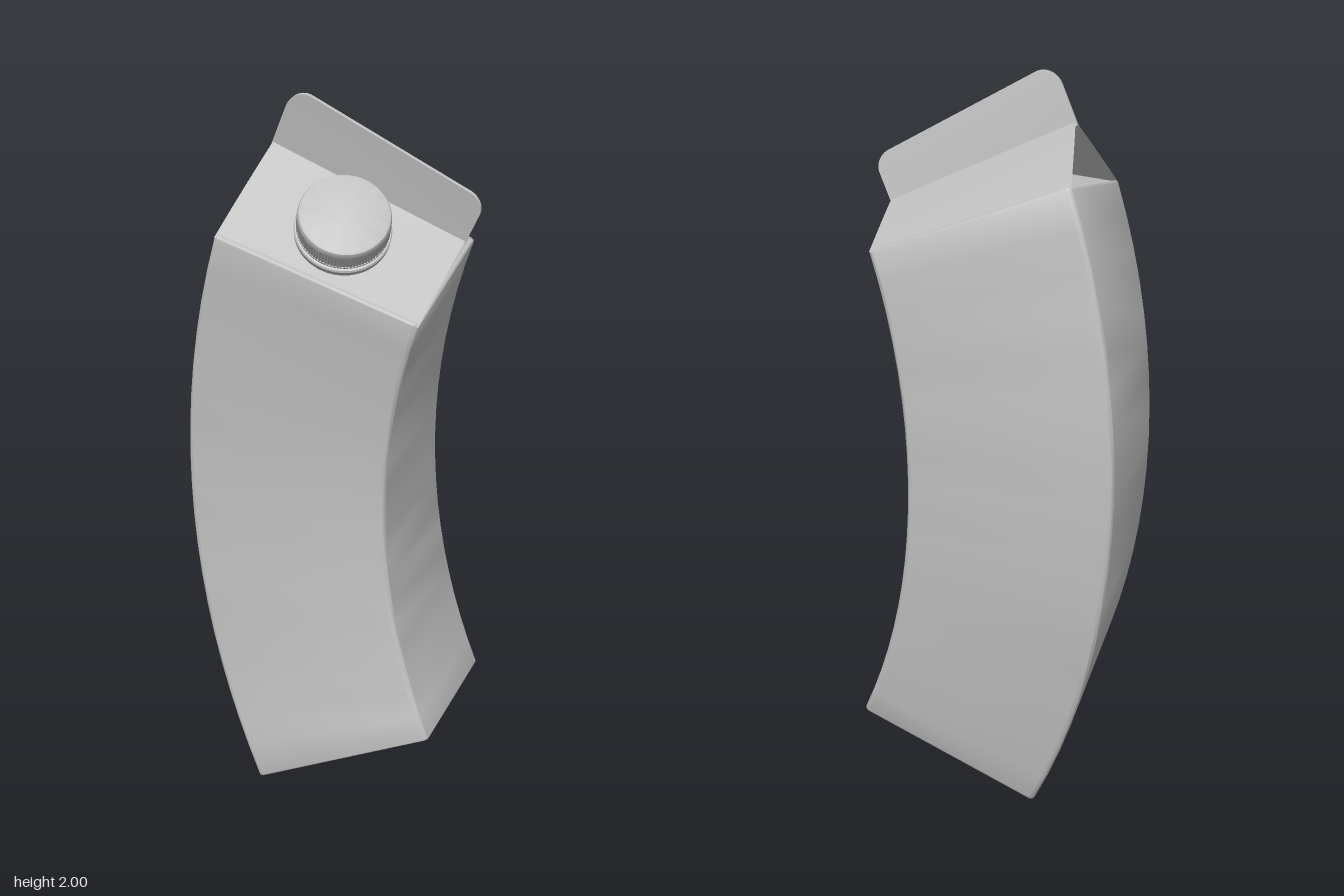
import * as THREE from 'three';
import { toCreasedNormals } from 'three/addons/utils/BufferGeometryUtils.js';

const HALF = 0.275;      // half width of the square carton
const BOTTOM = -0.862;   // heights along the straight carton, from its middle
const SHOULDER = 0.661;
const RIDGE = 0.805;
const FIN_TOP = 0.943;

// Bends the straight carton around a far axis, towards +x and a little +z
const R = 1.83, PHI = 0.349;
const C = Math.cos(PHI), S = Math.sin(PHI);
function bendPoint(p) {
  const s = p.x * C + p.z * S, w = -p.x * S + p.z * C, a = p.y / R;
  const s2 = R - (R - s) * Math.cos(a);
  return p.set(-0.09 + s2 * C - w * S, 0.996 + (R - s) * Math.sin(a), -0.04 + s2 * S + w * C);
}

function bend(geometry, crease = 0.6) {
  const pos = geometry.attributes.position, p = new THREE.Vector3();
  for (let i = 0; i < pos.count; i++) {
    bendPoint(p.fromBufferAttribute(pos, i));
    pos.setXYZ(i, p.x, p.y, p.z);
  }
  return toCreasedNormals(geometry, crease);
}

// Subdivided panel: bottom edge a-b, top edge d-c, counter-clockwise from outside
function panel(a, b, c, d, n = 4) {
  const [A, B, Cc, D] = [a, b, c, d].map((v) => new THREE.Vector3(...v));
  const points = [], index = [];
  for (let j = 0; j <= n; j++) {
    const l = A.clone().lerp(D, j / n), r = B.clone().lerp(Cc, j / n);
    points.push(l, r);
    if (j < n) {
      const k = j * 2;
      index.push(k, k + 1, k + 3);
      if (j < n - 1 || !Cc.equals(D)) index.push(k, k + 3, k + 2);
    }
  }
  const g = new THREE.BufferGeometry().setFromPoints(points);
  g.setIndex(index);
  return bend(g);
}

function roundedSquare(h, r) {
  const s = new THREE.Shape();
  s.absarc(h - r, h - r, r, 0, Math.PI / 2);
  s.absarc(-h + r, h - r, r, Math.PI / 2, Math.PI);
  s.absarc(-h + r, -h + r, r, Math.PI, Math.PI * 1.5);
  s.absarc(h - r, -h + r, r, Math.PI * 1.5, Math.PI * 2);
  s.closePath();
  return s;
}

export function createModel() {
  const model = new THREE.Group();
  model.name = 'bentCarton';
  const grey = new THREE.MeshStandardMaterial({ color: 0xc0c0c0, side: THREE.DoubleSide });
  grey.name = 'plain grey';
  const add = (name, geometry, parent = model) => {
    const mesh = new THREE.Mesh(geometry, grey);
    mesh.name = name;
    parent.add(mesh);
    return mesh;
  };

  // Curved square body with softened edges
  const bevel = 0.008;
  const body = new THREE.ExtrudeGeometry(roundedSquare(HALF, 0.016), {
    depth: SHOULDER - BOTTOM - 2 * bevel, steps: 18, curveSegments: 4,
    bevelThickness: bevel, bevelSize: bevel, bevelOffset: -bevel, bevelSegments: 3,
  });
  body.rotateX(-Math.PI / 2).translate(0, BOTTOM + bevel, 0);
  add('body', bend(body));

  // Sloping roof panels and folded-in gable ends
  const e = HALF - 0.002, y = SHOULDER - 0.006;
  const FL = [-e, y, e], FR = [e, y, e], BL = [-e, y, -e], BR = [e, y, -e];
  const EL = [-e, RIDGE, 0], ER = [e, RIDGE, 0];
  add('frontRoof', panel(FL, FR, ER, EL));
  add('backRoof', panel(BR, BL, EL, ER));
  for (const side of [-1, 1]) {
    const [F, B, E] = side > 0 ? [FR, BR, ER] : [FL, BL, EL];
    const P = [side * (e - 0.19), RIDGE - 0.045, 0];
    const gable = new THREE.Group();
    gable.name = side > 0 ? 'leftGable' : 'rightGable';
    model.add(gable);
    const fold = (name, a, b, c) =>
      add(name, side > 0 ? panel(a, b, c, c) : panel(b, a, c, c), gable);
    fold('gablePanel', F, B, P);
    fold('frontFlap', P, E, F);
    fold('backFlap', E, P, B);
  }

  // Thin sealed fin along the ridge with rounded upper corners
  const r = 0.05;
  const outline = new THREE.Shape();
  outline.moveTo(-HALF, RIDGE - 0.012);
  outline.lineTo(HALF, RIDGE - 0.012);
  outline.absarc(HALF - r, FIN_TOP - r, r, 0, Math.PI / 2);
  outline.absarc(-HALF + r, FIN_TOP - r, r, Math.PI / 2, Math.PI);
  outline.closePath();
  const fin = new THREE.ExtrudeGeometry(outline, { depth: 0.012, bevelEnabled: false, curveSegments: 8 });
  fin.translate(0, 0, -0.006);
  add('ridgeFin', bend(fin));

  // Screw cap standing square on the front roof
  const cap = new THREE.Group();
  cap.name = 'screwCap';
  const [f, g, h] = [FL, FR, EL].map((v) => bendPoint(new THREE.Vector3(...v)));
  const normal = g.sub(f).cross(h.sub(f)).normalize();
  cap.position.copy(bendPoint(new THREE.Vector3(0, (SHOULDER + RIDGE) / 2, HALF / 2)));
  cap.quaternion.setFromUnitVectors(new THREE.Vector3(0, 1, 0), normal);
  model.add(cap);

  const profile = [
    [0.112, -0.01], [0.112, 0.008], [0.12, 0.01], [0.121, 0.024], [0.118, 0.028],
    [0.111, 0.029], [0.111, 0.034], [0.116, 0.036], [0.116, 0.04], [0.112, 0.041],
    [0.112, 0.078], [0.115, 0.079], [0.114, 0.087], [0.111, 0.093], [0.105, 0.096], [0, 0.096],
  ].map(([x, v]) => new THREE.Vector2(x, v));
  add('capShell', toCreasedNormals(new THREE.LatheGeometry(profile, 64), 0.6), cap);

  // Fine grip ribs around the cap
  const ribs = new THREE.CylinderGeometry(0.115, 0.116, 0.039, 180, 1, true);
  const pos = ribs.attributes.position;
  for (let i = 0; i < pos.count; i++) {
    const k = (i % 181) % 2 ? 0.975 : 1;
    pos.setXYZ(i, pos.getX(i) * k, pos.getY(i) + 0.0595, pos.getZ(i) * k);
  }
  add('capRibs', toCreasedNormals(ribs, 0.3), cap);

  return model;
}
